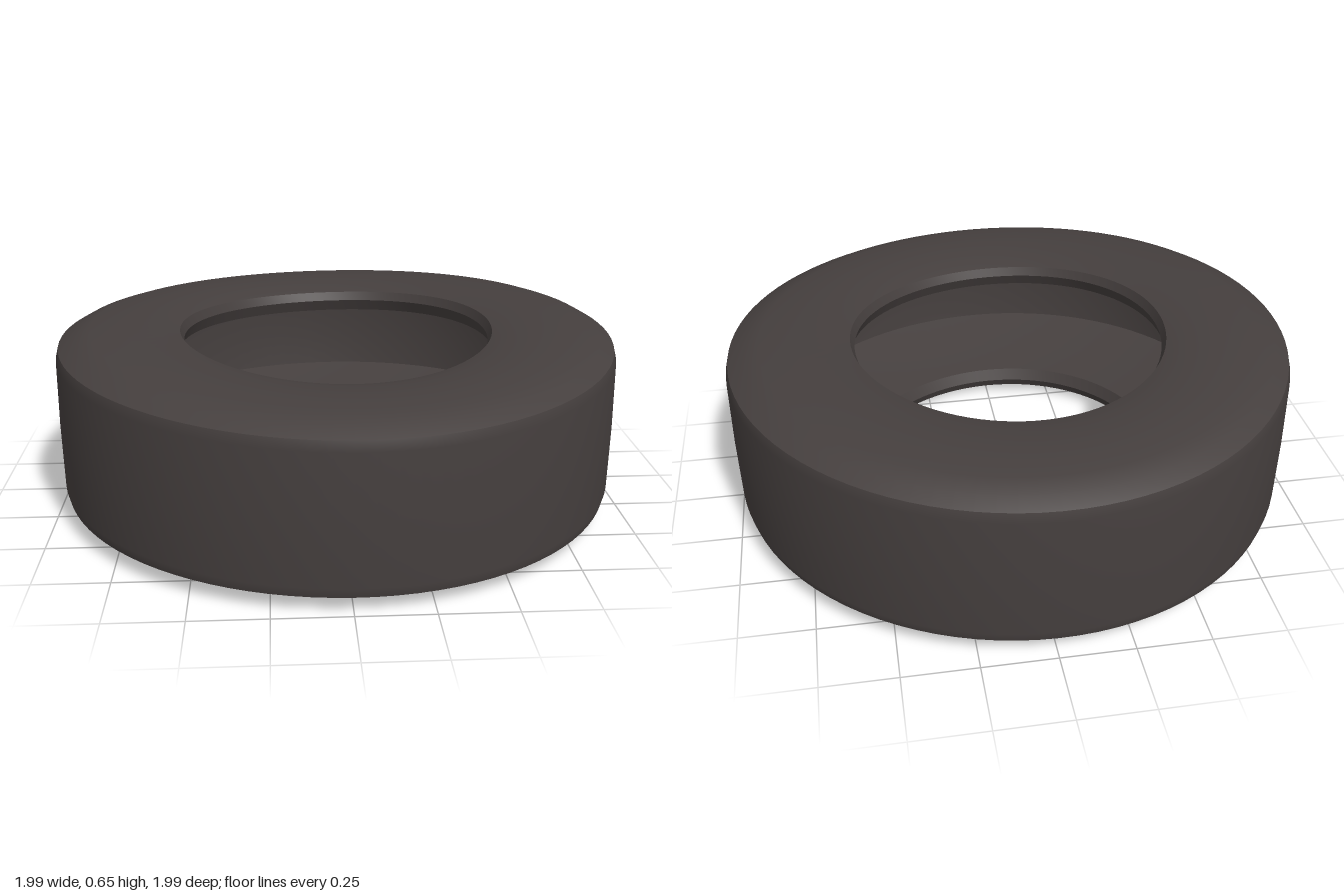
import * as THREE from 'three';
import { mergeVertices } from 'three/addons/utils/BufferGeometryUtils.js';

// Height drift of the upper and lower halves around the ring (slightly squashed rubber)
const topDrift = a =>
  -0.012 + 0.015 * Math.cos(2 * a) - 0.012 * Math.sin(a) - 0.006 * Math.sin(2 * a);
const bottomDrift = a =>
  -0.008 * Math.sin(a) + 0.003 * Math.cos(a) - 0.005 * Math.sin(2 * a);

// Revolve one smooth strip of the cross-section, then bend it; strips meet in sharp edges
function strip(name, points, material) {
  const lathe = new THREE.LatheGeometry(points.map(([r, y]) => new THREE.Vector2(r, y)), 96);
  lathe.deleteAttribute('uv');
  lathe.deleteAttribute('normal');
  const geometry = mergeVertices(lathe, 1e-5); // closes the seam
  const p = geometry.attributes.position;
  for (let i = 0; i < p.count; i++) {
    const a = Math.atan2(p.getZ(i), p.getX(i));
    const t = THREE.MathUtils.clamp(p.getY(i) / 0.64, 0, 1);
    p.setY(i, p.getY(i) + THREE.MathUtils.lerp(bottomDrift(a), topDrift(a), t));
  }
  geometry.computeVertexNormals();
  const mesh = new THREE.Mesh(geometry, material);
  mesh.name = name;
  return mesh;
}

export function createModel() {
  const rubber = new THREE.MeshStandardMaterial({ color: 0x453f3e, side: THREE.DoubleSide });
  rubber.name = 'dark rubber';

  const tire = new THREE.Group();
  tire.name = 'tire';

  // Upper half of the section as [radius, height]; the lower half mirrors it
  const sidewall = [[0.984, 0.59], [0.935, 0.618], [0.875, 0.638], [0.75, 0.645], [0.63, 0.637], [0.56, 0.618]];
  const bead = [[0.56, 0.618], [0.546, 0.585]];
  const beadHeel = [[0.546, 0.585], [0.565, 0.54]];
  const innerSidewall = [[0.565, 0.54], [0.74, 0.51], [0.91, 0.46]];
  const mirror = pts => pts.map(([r, y]) => [r, 0.655 - y]).reverse();

  const halves = { Sidewall: sidewall, Bead: bead, BeadHeel: beadHeel, InnerSidewall: innerSidewall };
  for (const [name, pts] of Object.entries(halves)) {
    tire.add(strip('upper' + name, pts, rubber));
    tire.add(strip('lower' + name, mirror(pts), rubber));
  }

  // Outer tread with slightly rounded edges, and the hollow's back wall
  tire.add(strip('tread', [[0.984, 0.065], [0.993, 0.1], [0.996, 0.33], [0.993, 0.555], [0.984, 0.59]], rubber));
  tire.add(strip('innerLiner', [[0.91, 0.46], [0.92, 0.33], [0.91, 0.195]], rubber));

  return tire;
}
